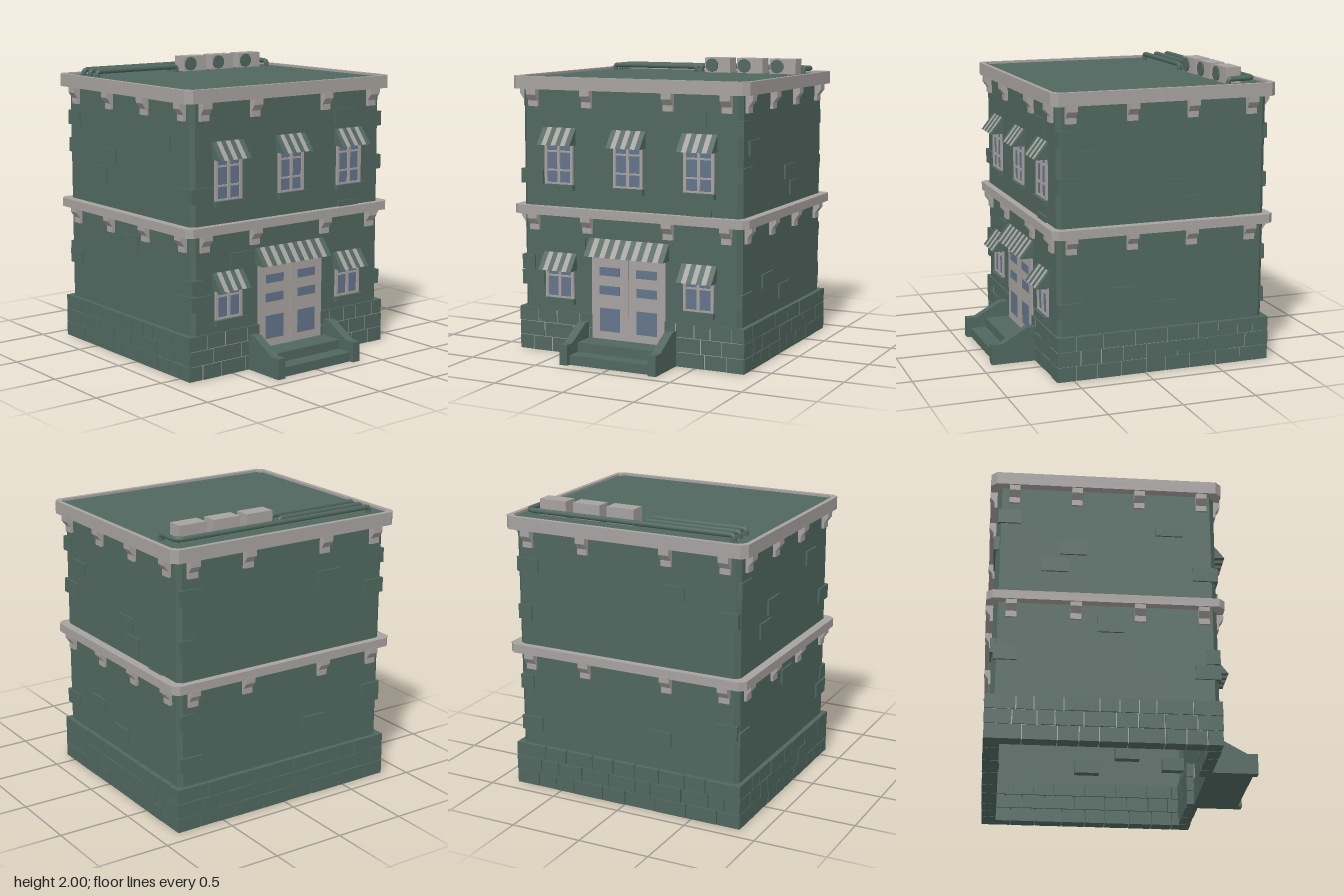
import * as THREE from 'three';

const mat = (name, color) => {
  const m = new THREE.MeshStandardMaterial({ color });
  m.name = name;
  return m;
};

export function createModel() {
  const green = mat('wall green', 0x50675f);
  const grey = mat('trim grey', 0xa6a2a0);
  const blue = mat('glass blue', 0x62748a);
  const FRONT = 0.6, BACK = -0.865, SIDE = 0.82, MID = -0.1325;
  const model = new THREE.Group();
  model.name = 'townBuilding';

  const add = (name, geo, material, parent = model) => {
    const m = new THREE.Mesh(geo, material);
    m.name = name;
    parent.add(m);
    return m;
  };
  // box given by its minimum and maximum corners
  const box = (name, x0, x1, y0, y1, z0, z1, material, parent = model) => {
    const m = add(name, new THREE.BoxGeometry(x1 - x0, y1 - y0, z1 - z0), material, parent);
    m.position.set((x0 + x1) / 2, (y0 + y1) / 2, (z0 + z1) / 2);
    return m;
  };
  const group = (name) => {
    const g = new THREE.Group();
    g.name = name;
    model.add(g);
    return g;
  };

  // rectangle with cut corners, extruded upwards, optionally hollow
  const outline = (hx, hz, c, Type) => new Type([
    [hx - c, -hz], [hx, c - hz], [hx, hz - c], [hx - c, hz],
    [c - hx, hz], [-hx, hz - c], [-hx, c - hz], [c - hx, -hz],
  ].map(([x, y]) => new THREE.Vector2(x, y)));
  const slab = (name, hx, hz, cut, y0, y1, material, rim = 0) => {
    const s = outline(hx, hz, cut, THREE.Shape);
    if (rim) s.holes.push(outline(hx - rim, hz - rim, cut, THREE.Path));
    const g = new THREE.ExtrudeGeometry(s, { depth: y1 - y0, bevelEnabled: false });
    g.rotateX(-Math.PI / 2);
    const m = add(name, g, material);
    m.position.set(0, y0, MID);
    return m;
  };

  // walls, open underneath
  slab('walls', SIDE, 0.7325, 0.03, 0, 1.83, green, 0.02);
  slab('baseMortar', 0.843, 0.7425, 0.01, 0.002, 0.292, grey, 0.03);

  // cornices and roof
  slab('lowerCornice', 0.88, 0.78, 0.04, 0.96, 1.02, grey);
  slab('upperCornice', 0.88, 0.78, 0.04, 1.82, 1.88, grey);
  slab('roofRim', 0.88, 0.78, 0.04, 1.88, 1.908, grey, 0.032);
  slab('roof', 0.852, 0.752, 0.04, 1.88, 1.892, green);

  // four wall frames: local x runs along the wall, local z points outwards
  const walls = {};
  [['front', 0, 0, FRONT], ['right', Math.PI / 2, SIDE, 0],
    ['back', Math.PI, 0, BACK], ['left', -Math.PI / 2, -SIDE, 0]].forEach(([name, turn, x, z]) => {
    const g = group(name + 'WallDetails');
    g.rotation.y = turn;
    g.position.set(x, 0, z);
    walls[name] = g;
  });
  // direction of local x measured in world x (front, back) or z (right, left)
  const sign = { front: 1, right: -1, back: -1, left: 1 };

  // brackets under both cornices
  const bracketShape = new THREE.Shape([[0, 0], [0.02, 0], [0.02, 0.04], [0.05, 0.08], [0.05, 0.122], [0, 0.122]]
    .map(([x, y]) => new THREE.Vector2(x, y)));
  const bracketGeo = new THREE.ExtrudeGeometry(bracketShape, { depth: 0.072, bevelEnabled: false });
  bracketGeo.translate(0, 0, -0.036);
  bracketGeo.rotateY(-Math.PI / 2);
  for (const side in walls) {
    const spots = side === 'front' || side === 'back' ? [-0.725, -0.31, 0.3, 0.72] : [0.51, 0.09, -0.33, -0.75];
    for (const u of spots) for (const y of [0.85, 1.702]) {
      add('corniceBracket', bracketGeo, grey, walls[side]).position.set(sign[side] * u, y, 0);
    }
  }

  // scattered bricks: centre along the wall, centre height, width
  const bricks = {
    front: [[-0.742, 1.22, 0.175], [-0.778, 0.62, 0.1], [-0.742, 0.51, 0.175], [0.48, 1.65, 0.18],
      [0.52, 1.01, 0.18], [-0.42, 0.765, 0.18]],
    right: [[0.55, 1.605, 0.1], [0.51, 1.3, 0.18], [0.51, 0.47, 0.18], [0.4, 1.47, 0.18], [-0.23, 1.25, 0.18],
      [-0.315, 1.13, 0.155], [-0.6, 0.97, 0.18], [0.16, 0.55, 0.18], [-0.14, 0.43, 0.18]],
    back: [[-0.35, 1.53, 0.18], [-0.25, 0.52, 0.18], [0.76, 1.25, 0.1], [0.76, 0.75, 0.1],
      [0.73, 1.58, 0.16], [0.73, 0.45, 0.16], [-0.74, 1.4, 0.15], [-0.74, 0.65, 0.15]],
    left: [[0.29, 1.55, 0.18], [-0.35, 1.38, 0.18], [-0.47, 1.25, 0.18], [-0.1, 0.82, 0.18],
      [0.52, 1.22, 0.15], [0.52, 0.51, 0.15], [-0.78, 1.6, 0.15], [-0.78, 0.6, 0.15]],
  };
  for (const side in bricks) for (const [c, y, w] of bricks[side]) {
    const u = c * sign[side];
    box('wallBrick', u - w / 2, u + w / 2, y - 0.05, y + 0.05, -0.08, 0.012, green, walls[side]);
  }

  // three rows of base stones, with seeded widths
  let seed = 7;
  const rand = () => (seed = (seed * 16807) % 2147483647) / 2147483647;
  for (const side in walls) {
    const alongX = side === 'front' || side === 'back';
    const [a, b] = alongX ? [-0.85, 0.85] : side === 'right' ? [-0.61, 0.895] : [-0.895, 0.61];
    const out = { front: 0.016, back: 0.035, right: 0.035, left: 0.035 }[side];
    for (let row = 0; row < 3; row++) {
      for (let u = a; u < b - 0.01;) {
        let end = u + 0.11 + 0.13 * rand();
        if (b - end < 0.08) end = b;
        let x0 = u, x1 = end - (end < b ? 0.007 : 0);
        u = end;
        if (side === 'front') { // leave the doorway free
          if (x0 > -0.28 && x1 < 0.28) continue;
          if (x0 < -0.28 && x1 > -0.28) x1 = -0.275;
          if (x0 < 0.28 && x1 > 0.28) x0 = 0.275;
        }
        box('baseStone', x0, x1, row * 0.101, row * 0.101 + 0.097, -0.07, out - 0.006 * rand(), green, walls[side]);
      }
    }
  }

  // striped wedge awning
  const awning = (cx, top, width, count, drop) => {
    const g = group('awning');
    const s = new THREE.Shape([[0, 0], [0.09, -drop], [0, -drop]].map(([x, y]) => new THREE.Vector2(x, y)));
    const w = width / count;
    const geo = new THREE.ExtrudeGeometry(s, { depth: w, bevelEnabled: false });
    geo.rotateY(-Math.PI / 2);
    for (let i = 0; i < count; i++) add('awningStripe', geo, i % 2 ? grey : green, g).position.x = (i + 1) * w - width / 2;
    g.position.set(cx, top, FRONT);
  };

  // windows with sill, frame bars, glass and awning
  const windowAt = (cx, y0, y1, bars, awningTop) => {
    const g = group('window');
    g.position.set(cx, 0, FRONT);
    box('windowGlass', -0.1, 0.1, y0, y1, -0.002, 0.004, blue, g);
    for (const x of [-0.1, 0, 0.1]) box('windowUpright', x - 0.01, x + 0.01, y0, y1, 0, 0.015, grey, g);
    for (const y of [y0 + 0.006, ...bars, y1 - 0.006]) box('windowBar', -0.11, 0.11, y - 0.006, y + 0.006, 0, 0.013, grey, g);
    box('windowSill', -0.118, 0.118, y0 - 0.038, y0, -0.01, 0.035, green, g);
    awning(cx, awningTop, 0.255, 7, 0.115);
  };
  for (const x of [-0.53, 0, 0.52]) windowAt(x, 1.175, 1.53, [1.272, 1.4], 1.562);
  for (const x of [-0.53, 0.52]) windowAt(x, 0.385, 0.67, [0.54], 0.7);

  // double door
  for (const s of [-1, 1]) {
    const g = group('doorLeaf');
    g.position.set(s * 0.14, 0, FRONT);
    box('doorPanel', -0.138, 0.138, 0.13, 0.8, -0.02, 0.012, grey, g);
    for (const [y0, y1] of [[0.185, 0.345], [0.44, 0.5], [0.57, 0.628], [0.69, 0.75]]) {
      box('doorGlass', -0.077, 0.077, y0, y1, 0.01, 0.015, blue, g);
    }
  }
  box('doorSeam', -0.004, 0.004, 0.13, 0.8, FRONT - 0.01, FRONT + 0.006, green);
  awning(0, 0.82, 0.6, 15, 0.115);

  // entrance steps with sloping side walls
  box('lowerStep', -0.31, 0.31, 0, 0.065, 0.6, 0.89, green);
  box('upperStep', -0.31, 0.31, 0.065, 0.13, 0.6, 0.78, green);
  const cheek = new THREE.Shape([[0.6, 0], [0.92, 0], [0.92, 0.14], [0.85, 0.14], [0.67, 0.24], [0.6, 0.24]]
    .map(([x, y]) => new THREE.Vector2(x, y)));
  const cheekGeo = new THREE.ExtrudeGeometry(cheek, { depth: 0.06, bevelEnabled: false });
  cheekGeo.rotateY(-Math.PI / 2);
  for (const x of [-0.3, 0.36]) add('stepSideWall', cheekGeo, green).position.x = x;

  // rooftop cooling units with round fans
  for (const x of [0.005, 0.26, 0.515]) {
    box('coolingUnit', x, x + 0.2, 1.89, 2, -0.72, -0.61, grey);
    const fan = add('coolingFan', new THREE.CylinderGeometry(0.05, 0.05, 0.02, 10), green);
    fan.rotation.x = Math.PI / 2;
    fan.position.set(x + 0.058, 1.945, -0.609);
  }

  // rooftop pipes, bent down at the ends
  const pipe = (points) => {
    const path = new THREE.CurvePath();
    const v = points.map((p) => new THREE.Vector3(...p));
    let from = v[0];
    for (let i = 1; i < v.length - 1; i++) {
      const r = i === 2 && v.length > 4 ? 0.06 : 0.022;
      const a = v[i].clone().add(v[i - 1].clone().sub(v[i]).setLength(r));
      const b = v[i].clone().add(v[i + 1].clone().sub(v[i]).setLength(r));
      path.add(new THREE.LineCurve3(from, a));
      path.add(new THREE.QuadraticBezierCurve3(a, v[i], b));
      from = b;
    }
    path.add(new THREE.LineCurve3(from, v[v.length - 1]));
    add('roofPipe', new THREE.TubeGeometry(path, 120, 0.018, 8), green);
  };
  const Y = 1.932;
  for (const z of [-0.61, -0.7]) pipe([[-0.74, 1.885, z], [-0.74, Y, z], [-0.065, Y, z], [-0.065, 1.885, z]]);
  pipe([[-0.74, 1.885, -0.785], [-0.74, Y, -0.785], [0.775, Y, -0.785], [0.775, Y, -0.605], [0.775, 1.885, -0.605]]);

  return model;
}
